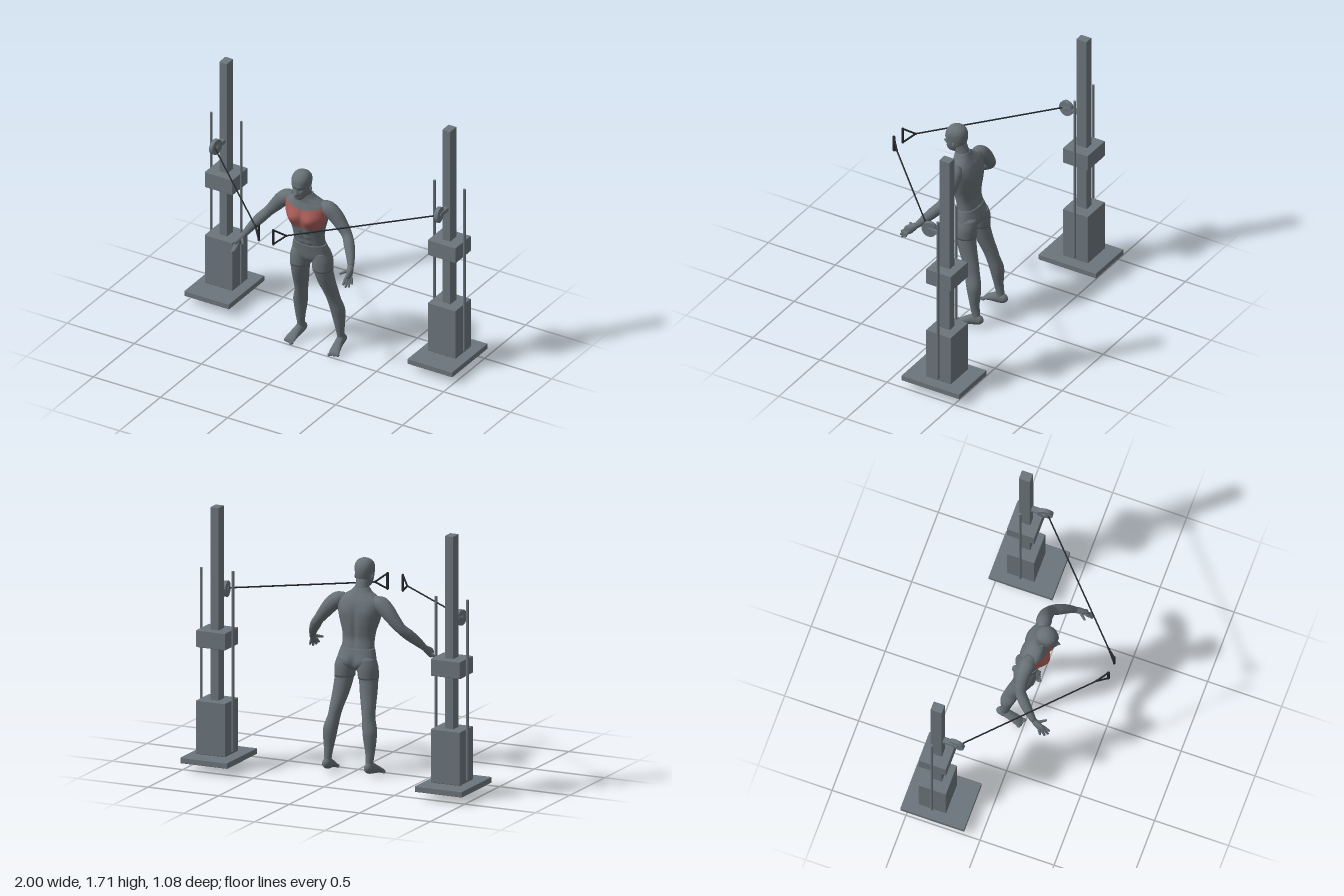
import * as THREE from 'three';
import { RoundedBoxGeometry } from 'three/addons/geometries/RoundedBoxGeometry.js';

const mat = (name, color) => {
  const m = new THREE.MeshStandardMaterial({ color });
  m.name = name;
  return m;
};
const V = (x, y, z) => new THREE.Vector3(x, y, z);
const UP = V(0, 1, 0), DOWN = V(0, -1, 0), FRONT = V(0, 0, 1);
const bump = (p, x, y, sx, sy) =>
  Math.exp(-(((Math.abs(p.x) - x) / sx) ** 2) - ((p.y - y) / sy) ** 2);

// Smooth skin through elliptical sections [x, y, z, a, b]; pick() sends faces to a second material
function loft(sections, { normal, seg = 24, steps = 5, power = 1, shape, pick } = {}) {
  const path = new THREE.CatmullRomCurve3(sections.map(s => V(s[0], s[1], s[2])), false, 'catmullrom');
  const size = new THREE.CatmullRomCurve3(sections.map(s => V(s[3], s[4], 0)), false, 'catmullrom');
  const rows = (sections.length - 1) * steps;
  const pts = [], groups = [[], []];
  const pw = c => Math.sign(c) * Math.abs(c) ** power;
  for (let i = 0; i <= rows; i++) {
    const c = path.getPoint(i / rows), r = size.getPoint(i / rows);
    const t = normal || path.getTangent(i / rows);
    const u = V(1, 0, 0).addScaledVector(t, -t.x).normalize();
    const v = t.clone().cross(u);
    for (let j = 0; j < seg; j++) {
      const a = (j / seg) * Math.PI * 2;
      const p = c.clone().addScaledVector(u, pw(Math.cos(a)) * r.x).addScaledVector(v, pw(Math.sin(a)) * r.y);
      if (shape) shape(p, c);
      pts.push(p);
    }
  }
  const face = (a, b, c) => {
    const mid = pts[a].clone().add(pts[b]).add(pts[c]).divideScalar(3);
    groups[pick && pick(mid) ? 1 : 0].push(a, b, c);
  };
  for (let i = 0; i < rows; i++) for (let j = 0; j < seg; j++) {
    const k = (j + 1) % seg, a = i * seg + j, b = i * seg + k;
    face(a, b, b + seg);
    face(a, b + seg, a + seg);
  }
  // end caps
  const first = pts.push(path.getPoint(0)) - 1, last = pts.push(path.getPoint(1)) - 1;
  for (let j = 0; j < seg; j++) {
    const k = (j + 1) % seg, e = rows * seg;
    face(first, k, j);
    face(last, e + j, e + k);
  }
  const g = new THREE.BufferGeometry().setFromPoints(pts);
  g.setIndex([...groups[0], ...groups[1]]);
  if (pick) {
    g.addGroup(0, groups[0].length, 0);
    g.addGroup(groups[0].length, groups[1].length, 1);
  }
  g.computeVertexNormals();
  return g;
}
// Rows of [y, front z, back z, half width] become sections
const rowsToSections = rows => rows.map(([y, f, b, w]) => [0, y, (f + b) / 2, w, (f - b) / 2]);

export function createModel() {
  const model = new THREE.Group();
  model.name = 'cableCrossoverStation';
  const steel = mat('machineGrey', 0x6b757b);
  const skin = mat('bodyGrey', 0x677075);
  const red = mat('chestRed', 0xa85c59);
  const dark = mat('cableBlack', 0x25282b);

  const add = (parent, name, geo, material, x = 0, y = 0, z = 0) => {
    const m = new THREE.Mesh(geo, material);
    m.name = name;
    m.position.set(x, y, z);
    parent.add(m);
    return m;
  };
  const box = (parent, name, w, h, d, x, y, z) =>
    add(parent, name, new RoundedBoxGeometry(w, h, d, 2, 0.004), steel, x, y, z);
  const rod = (parent, name, a, b, r, material) => {
    const m = add(parent, name, new THREE.CylinderGeometry(r, r, a.distanceTo(b), 12), material);
    m.position.copy(a).lerp(b, 0.5);
    m.quaternion.setFromUnitVectors(UP, b.clone().sub(a).normalize());
  };

  // Cable towers
  for (const s of [1, -1]) {
    const t = new THREE.Group();
    t.name = s > 0 ? 'leftTower' : 'rightTower';
    model.add(t);
    const x = s * 0.832;
    box(t, 'basePlate', 0.335, 0.038, 0.432, x, 0.071, -0.324);
    box(t, 'column', 0.06, 1.627, 0.077, x, 0.902, -0.346);
    box(t, 'weightStack', 0.208, 0.352, 0.187, x, 0.274, -0.346);
    box(t, 'carriage', 0.208, 0.112, 0.187, x, 0.855, -0.346);
    for (const k of [-1, 1])
      rod(t, 'guideRod', V(x + k * 0.112, 0.115, -0.346), V(x + k * 0.112, 1.3, -0.346), 0.009, steel);
    box(t, 'pulleyBracket', 0.034, 0.028, 0.11, x, 1.143, -0.262);
    const wheel = add(t, 'pulley', new THREE.CylinderGeometry(0.052, 0.052, 0.026, 32), steel, x, 1.144, -0.217);
    wheel.rotation.set(0, s * 0.12, Math.PI / 2, 'YXZ');
    rod(t, 'pulleyAxle', V(x - 0.02, 1.144, -0.217), V(x + 0.02, 1.144, -0.217), 0.012, steel);

    // Cable and triangular handle
    const apex = V(s * 0.115, 1.111, 0.47), top = V(s * 0.054, 1.162, 0.529), low = V(s * 0.054, 1.06, 0.529);
    rod(t, 'cable', V(s * 0.818, 1.145, -0.19), apex, 0.005, dark);
    rod(t, 'handleStrap', apex, top, 0.006, dark);
    rod(t, 'handleStrap', apex, low, 0.006, dark);
    rod(t, 'handleGrip', low, top, 0.009, dark);
    for (const p of [apex, top, low]) add(t, 'handleJoint', new THREE.SphereGeometry(0.008, 10, 8), dark, p.x, p.y, p.z);
  }

  const body = new THREE.Group();
  body.name = 'athlete';
  model.add(body);

  // Torso with chest, belly and back relief
  const torso = rowsToSections([
    [0.77, 0.045, -0.08, 0.112], [0.82, 0.058, -0.068, 0.108], [0.87, 0.07, -0.058, 0.108],
    [0.92, 0.084, -0.062, 0.115], [0.97, 0.1, -0.066, 0.13], [1.03, 0.112, -0.064, 0.146],
    [1.08, 0.108, -0.056, 0.152], [1.115, 0.1, -0.042, 0.145], [1.14, 0.094, -0.026, 0.112],
    [1.165, 0.094, -0.01, 0.07], [1.19, 0.094, 0.004, 0.048]]);
  add(body, 'torso', loft(torso, {
    normal: UP, seg: 112, steps: 10, power: 0.87,
    shape: (p, c) => {
      if (p.z > c.z) {
        p.z += 0.026 * bump(p, 0.065, 1.015, 0.05, 0.05) - 0.006 * bump(p, 0, 1.02, 0.012, 0.07);
        for (const y of [0.83, 0.875, 0.92]) p.z += 0.006 * bump(p, 0.026, y, 0.02, 0.018);
      } else {
        p.z += 0.01 * bump(p, 0, 0.95, 0.018, 0.14) - 0.007 * bump(p, 0.08, 1.04, 0.04, 0.05);
      }
    },
    pick: p => {
      const x = Math.abs(p.x);
      return p.z > 0.035 && x < 0.15 && p.y > 0.955 - 0.1 * Math.min(x, 0.07) + 0.5 * Math.max(0, x - 0.09)
        && p.y < 1.085 + 0.22 * x;
    },
  }), [skin, red]);

  // Shorts
  add(body, 'shorts', loft(rowsToSections([
    [0.665, 0.015, -0.06, 0.035], [0.69, 0.036, -0.085, 0.09], [0.72, 0.046, -0.093, 0.13],
    [0.76, 0.052, -0.089, 0.128], [0.81, 0.061, -0.074, 0.113]]), {
    normal: UP, seg: 64, steps: 8, power: 0.9,
    shape: (p, c) => { if (p.z < c.z) p.z += 0.012 * bump(p, 0, 0.71, 0.014, 0.05) - 0.01 * bump(p, 0.06, 0.72, 0.04, 0.04); },
  }), skin);

  // Neck and head
  add(body, 'neck', loft([[0, 1.13, 0.03, 0.06, 0.05], [0, 1.17, 0.045, 0.049, 0.047],
    [0, 1.21, 0.06, 0.045, 0.045], [0, 1.25, 0.075, 0.046, 0.046]], { normal: UP }), skin);
  add(body, 'head', loft(rowsToSections([
    [1.18, 0.145, 0.09, 0.014], [1.188, 0.157, 0.065, 0.03], [1.21, 0.159, 0.045, 0.043], [1.235, 0.16, 0.032, 0.052],
    [1.265, 0.163, 0.022, 0.057], [1.295, 0.166, 0.018, 0.061], [1.325, 0.16, 0.022, 0.061],
    [1.35, 0.142, 0.036, 0.05], [1.366, 0.118, 0.06, 0.03], [1.372, 0.096, 0.086, 0.006]]), {
    normal: UP, seg: 48, steps: 6, power: 0.92,
    shape: (p, c) => {
      if (p.z > c.z + 0.02) p.z += 0.005 * bump(p, 0.022, 1.28, 0.02, 0.01) - 0.009 * bump(p, 0.024, 1.259, 0.014, 0.01)
        + 0.026 * bump(p, 0, 1.226, 0.011, 0.012) + 0.01 * bump(p, 0, 1.245, 0.009, 0.016)
        + 0.006 * bump(p, 0, 1.203, 0.018, 0.005) - 0.004 * bump(p, 0, 1.193, 0.02, 0.004);
    },
  }), skin);

  for (const s of [1, -1]) {
    const limb = (name, sections, options) =>
      add(body, name, loft(sections.map(([x, ...rest]) => [s * x, ...rest]), options), skin);
    const ear = add(body, 'ear', new THREE.SphereGeometry(0.018, 14, 10), skin, s * 0.059, 1.25, 0.082);
    ear.scale.set(0.4, 1, 0.65);

    // Leg, shorts cuff and foot
    limb('leg', [
      [0.072, 0.76, -0.025, 0.05, 0.055], [0.078, 0.7, -0.028, 0.064, 0.068], [0.084, 0.63, -0.026, 0.062, 0.066],
      [0.092, 0.56, -0.04, 0.058, 0.063], [0.1, 0.5, -0.058, 0.053, 0.058], [0.112, 0.43, -0.083, 0.045, 0.053],
      [0.122, 0.37, -0.1, 0.041, 0.05], [0.137, 0.3, -0.117, 0.047, 0.049], [0.142, 0.24, -0.125, 0.043, 0.042],
      [0.146, 0.17, -0.13, 0.033, 0.032], [0.148, 0.1, -0.14, 0.024, 0.029], [0.15, 0.05, -0.145, 0.026, 0.034]],
      { normal: DOWN, seg: 32 });
    limb('shortsCuff', [[0.072, 0.75, -0.026, 0.056, 0.064], [0.079, 0.69, -0.028, 0.068, 0.072],
      [0.084, 0.618, -0.027, 0.066, 0.071]], { normal: DOWN, seg: 32 });
    limb('foot', [[0.148, 0.062, -0.193, 0.01, 0.012], [0.148, 0.062, -0.175, 0.024, 0.029],
      [0.15, 0.06, -0.135, 0.027, 0.04], [0.157, 0.045, -0.085, 0.031, 0.03],
      [0.164, 0.027, -0.04, 0.036, 0.018], [0.168, 0.016, -0.018, 0.034, 0.011]], { normal: FRONT });
    for (let i = 0; i < 5; i++) {
      const toe = add(body, 'toe', new THREE.SphereGeometry(i ? 0.008 : 0.011, 12, 8), skin,
        s * (0.141 + i * 0.0135), 0.012, -0.013 - i * 0.004);
      toe.scale.z = 1.7;
    }

    // Arm, palm and fingers
    limb('arm', [
      [0.1, 1.105, 0.022, 0.034, 0.04], [0.15, 1.1, 0.017, 0.05, 0.05], [0.198, 1.062, 0.01, 0.05, 0.048],
      [0.243, 1.01, 0.01, 0.043, 0.042], [0.292, 0.952, 0.02, 0.034, 0.035], [0.33, 0.908, 0.055, 0.035, 0.036],
      [0.367, 0.86, 0.1, 0.029, 0.03], [0.398, 0.81, 0.145, 0.02, 0.019]], { seg: 28 });
    limb('palm', [[0.395, 0.817, 0.138, 0.018, 0.017], [0.404, 0.796, 0.165, 0.021, 0.024],
      [0.414, 0.772, 0.195, 0.017, 0.031], [0.419, 0.757, 0.211, 0.01, 0.026]], {});
    const fingers = [[0.404, 0.766, 0.214, 0.407, 0.732, 0.258], [0.412, 0.76, 0.213, 0.424, 0.717, 0.255],
      [0.421, 0.757, 0.205, 0.438, 0.712, 0.236], [0.428, 0.76, 0.193, 0.446, 0.724, 0.208],
      [0.396, 0.797, 0.175, 0.358, 0.781, 0.222]];
    fingers.forEach(([x, y, z, X, Y, Z], i) => {
      const a = V(x, y, z), b = V(X, Y, Z), at = (k, r) => [...a.clone().lerp(b, k).toArray(), r, r];
      limb(i < 4 ? 'finger' : 'thumb', [at(-0.2, 0.009), at(0.2, 0.01), at(0.6, 0.0085), at(0.93, 0.007), at(1, 0.002)],
        { seg: 12, steps: 3 });
    });
  }
  return model;
}
